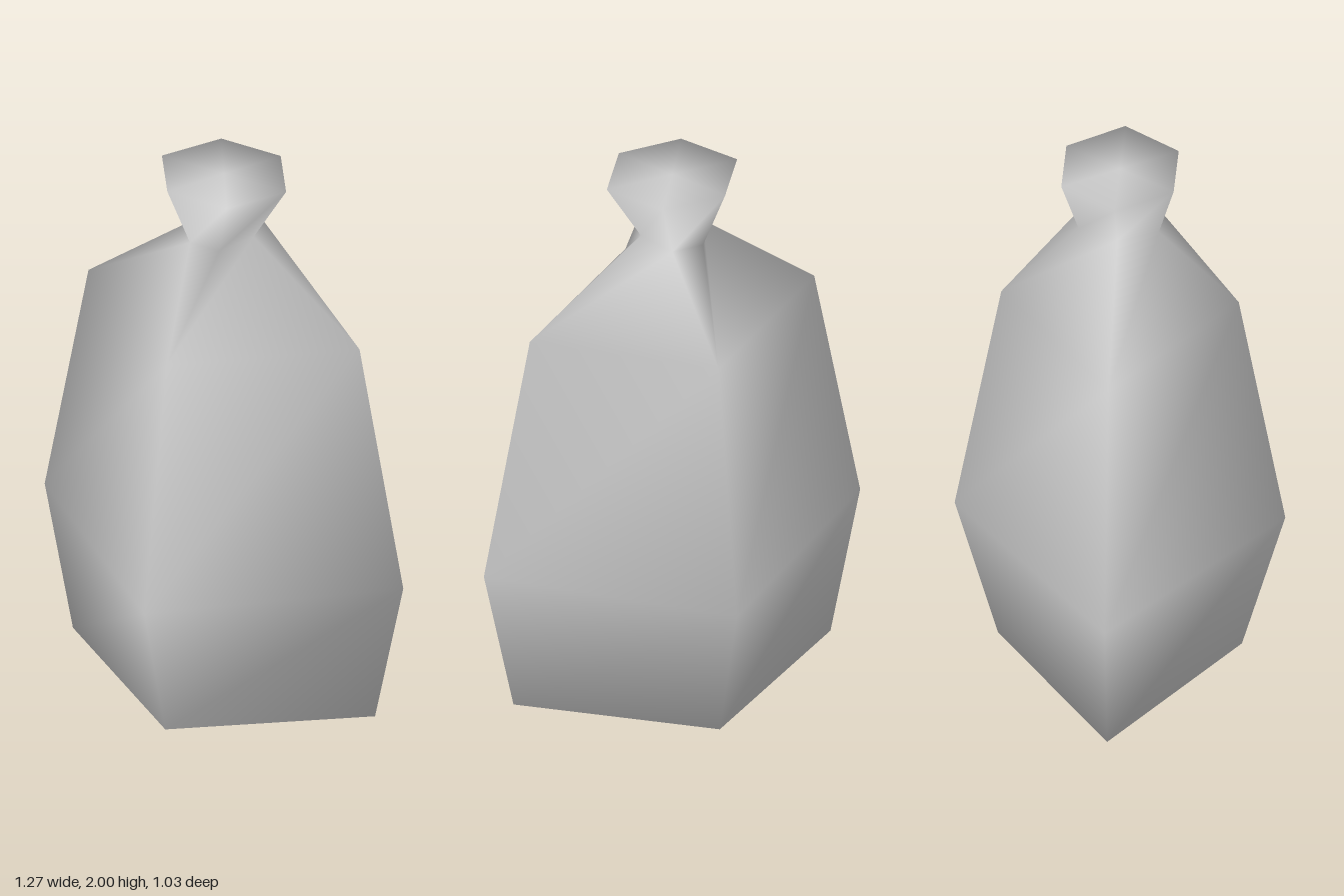
import * as THREE from 'three';
import { mergeVertices } from 'three/addons/utils/BufferGeometryUtils.js';

// Rings from bottom to top: height, half width, half depth, half width of the front and back edge
const RINGS = [
  [0, 0, 0, 0],              // base point
  [0.167, 0.535, 0.38, 0],   // foot
  [0.667, 0.635, 0.515, 0],  // belly
  [1.5, 0.48, 0.37, 0],      // shoulder
  [1.8, 0.105, 0.125, 0.052],// throat
  [2, 0.22, 0.175, 0.105],   // lip
  [2, 0, 0, 0],              // closed top
];

// Six points counter-clockwise from above; the body rings collapse to four
function ringPoints([y, w, d, e]) {
  return [[w, 0], [e, -d], [-e, -d], [-w, 0], [-e, d], [e, d]]
    .map(([x, z]) => new THREE.Vector3(x, y, z));
}

function loft(rings) {
  const positions = [];
  // Skip triangles whose corners coincide
  const triangle = (a, b, c) => {
    if (a.equals(b) || b.equals(c) || c.equals(a)) return;
    for (const p of [a, b, c]) positions.push(p.x, p.y, p.z);
  };
  const loops = rings.map(ringPoints);
  for (let i = 0; i < loops.length - 1; i++) {
    const low = loops[i], high = loops[i + 1];
    for (let k = 0; k < 6; k++) {
      const n = (k + 1) % 6;
      triangle(low[k], low[n], high[n]);
      triangle(low[k], high[n], high[k]);
    }
  }
  const geometry = new THREE.BufferGeometry();
  geometry.setAttribute('position', new THREE.Float32BufferAttribute(positions, 3));
  // Shared vertices give smooth shading over the whole bottle
  const smooth = mergeVertices(geometry);
  smooth.computeVertexNormals();
  return smooth;
}

export function createModel() {
  const group = new THREE.Group();
  group.name = 'bottle';
  const grey = new THREE.MeshStandardMaterial({ color: 0xcccccc });
  grey.name = 'light grey';
  const body = new THREE.Mesh(loft(RINGS), grey);
  body.name = 'bottleBody';
  group.add(body);
  return group;
}
